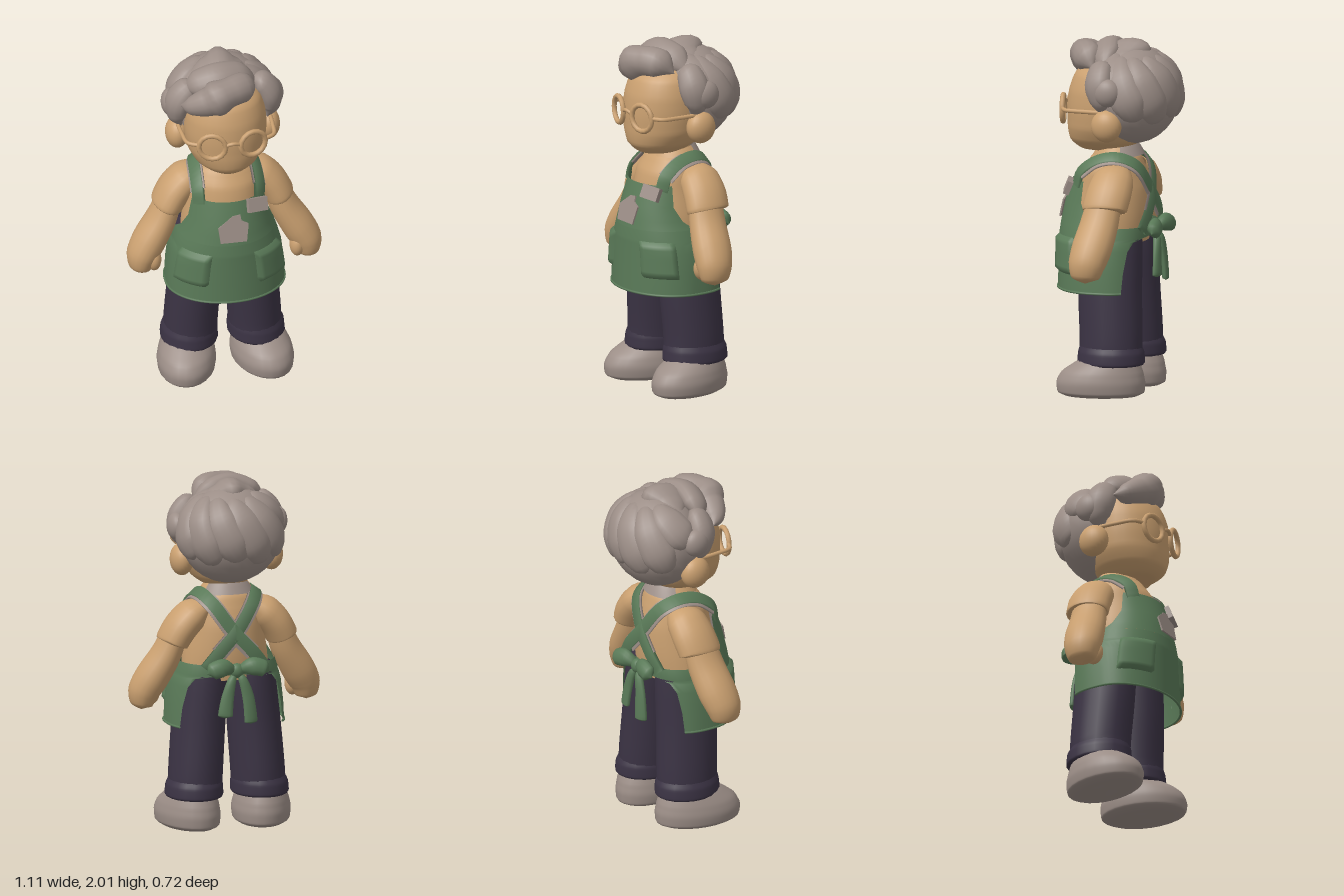
import * as THREE from 'three';

const V = (x, y, z) => new THREE.Vector3(x, y, z);
const UP = V(0, 1, 0);
const rad = Math.PI / 180;
const paint = (name, color, side = THREE.FrontSide) => {
  const m = new THREE.MeshStandardMaterial({ color, side });
  m.name = name;
  return m;
};

// Surface through rows of points
function grid(rows, closed) {
  const n = rows[0].length, pos = [], idx = [];
  rows.forEach(r => r.forEach(p => pos.push(p.x, p.y, p.z)));
  for (let i = 0; i < rows.length - 1; i++) {
    for (let j = 0; j < (closed ? n : n - 1); j++) {
      const k = (j + 1) % n;
      const a = i * n + j, b = i * n + k, c = b + n, d = a + n;
      idx.push(a, d, b, b, d, c);
    }
  }
  const g = new THREE.BufferGeometry();
  g.setAttribute('position', new THREE.Float32BufferAttribute(pos, 3));
  g.setIndex(idx);
  g.computeVertexNormals();
  return g;
}

// Rounded body along rows of [x, y, z, sideRadius, depthRadius]
function sweep(rows, { sx = 1, upright = false, center = null, steps = 5, sides = 20 } = {}) {
  const path = new THREE.CatmullRomCurve3(rows.map(r => V(r[0] * sx, r[1], r[2])));
  const size = new THREE.CatmullRomCurve3(rows.map(r => V(r[3], r[4], 0)));
  const n = (rows.length - 1) * steps, rings = [];
  for (let i = 0; i <= n; i++) {
    const p = path.getPoint(i / n), s = size.getPoint(i / n);
    const t = upright ? UP : path.getTangent(i / n);
    const ref = center ? p.clone().sub(center) : V(0, 0, 1);
    const b = t.clone().cross(ref).normalize(), c = b.clone().cross(t).normalize();
    const ring = [];
    for (let j = 0; j < sides; j++) {
      const a = j / sides * Math.PI * 2;
      ring.push(p.clone().addScaledVector(b, Math.max(s.x, 0.001) * Math.cos(a))
        .addScaledVector(c, Math.max(s.y, 0.001) * Math.sin(a)));
    }
    rings.push(ring);
  }
  return grid(rings, true);
}

// Flat band lying on the body
function band(points, width, thick) {
  const path = new THREE.CatmullRomCurve3(points), rows = [];
  for (let i = 0; i <= 28; i++) {
    const p = path.getPoint(i / 28), t = path.getTangent(i / 28);
    const b = t.clone().cross(p.clone().sub(V(0, 1.1, 0.03))).normalize();
    const n = b.clone().cross(t);
    rows.push([[1, 1], [-1, 1], [-1, -1], [1, -1]].map(([u, v]) =>
      p.clone().addScaledVector(b, u * width / 2).addScaledVector(n, v * thick / 2)));
  }
  return grid(rows, true);
}

// Apron rows: height, half width, depth, wrap angle; pointed in front, squarer behind
const APRON = [[0.58, 0.338, 0.274, 122], [0.7, 0.332, 0.272, 125], [0.82, 0.318, 0.27, 131],
  [0.87, 0.305, 0.27, 140], [0.89, 0.3, 0.27, 178], [0.95, 0.28, 0.262, 178],
  [1.0, 0.264, 0.252, 80], [1.08, 0.244, 0.235, 69], [1.2, 0.222, 0.192, 66]];
function onApron(y, ang, off = 0) {
  let i = 0;
  while (i < APRON.length - 2 && y > APRON[i + 1][0]) i++;
  const [p, q] = [APRON[i], APRON[i + 1]], f = (y - p[0]) / (q[0] - p[0]);
  const a = p[1] + (q[1] - p[1]) * f + off, d = p[2] + (q[2] - p[2]) * f + off;
  const s = Math.sin(ang), c = Math.cos(ang), e = c > 0 ? 1 : 0.7;
  return V(a * Math.sign(s) * Math.abs(s) ** e, y, 0.08 + d * Math.sign(c) * Math.abs(c) ** e);
}
const apronSheet = (rows, limit) => grid(rows.map(([y, , , w]) =>
  Array.from({ length: 49 }, (_, j) => onApron(y, Math.min(w, limit) * rad * (j / 24 - 1)))));

export function createModel() {
  const root = new THREE.Group();
  root.name = 'shopkeeper';
  const skin = paint('warm tan', 0xcaa070, THREE.DoubleSide);
  const grey = paint('soft grey', 0x9c8e87, THREE.DoubleSide);
  const green = paint('apron green', 0x5a7a58, THREE.DoubleSide);
  const navy = paint('dark plum', 0x3b3344);
  const add = (name, geo, mat) => {
    const m = new THREE.Mesh(geo, mat);
    m.name = name;
    root.add(m);
    return m;
  };
  const ball = (name, mat, p, s) => {
    const m = add(name, new THREE.SphereGeometry(1, 24, 16), mat);
    m.position.set(...p);
    m.scale.set(...s);
  };

  // Head and shirt
  add('head', sweep([[0, 1.355, 0.1, 0, 0], [0, 1.365, 0.1, 0.1, 0.13], [0, 1.42, 0.09, 0.18, 0.205],
    [0, 1.5, 0.08, 0.222, 0.227], [0, 1.6, 0.08, 0.233, 0.228], [0, 1.7, 0.08, 0.228, 0.218],
    [0, 1.8, 0.07, 0.2, 0.19], [0, 1.87, 0.05, 0.12, 0.12], [0, 1.89, 0.05, 0, 0]],
  { upright: true, sides: 32 }), skin);
  add('shirt', sweep([[0, 0.85, 0.03, 0.25, 0.18], [0, 1.0, 0.045, 0.24, 0.21], [0, 1.15, 0.04, 0.215, 0.2],
    [0, 1.25, 0.04, 0.203, 0.175], [0, 1.32, 0.03, 0.17, 0.14], [0, 1.36, 0.03, 0.12, 0.11],
    [0, 1.42, 0.03, 0.09, 0.08]], { upright: true, sides: 28 }), skin);

  // Collar: tan in front, grey lining behind
  const collar = (from, to) => grid([[1.325, 0.165, 0.15], [1.365, 0.14, 0.13], [1.385, 0.125, 0.115]].map(([y, a, d]) =>
    Array.from({ length: 17 }, (_, j) => {
      const g = (from + (to - from) * j / 16) * rad;
      return V(a * Math.sin(g), y - 0.015 * Math.cos(g), 0.02 + d * Math.cos(g));
    })));
  add('collarLeft', collar(12, 115), skin);
  add('collarRight', collar(-115, -12), skin);
  add('collarBack', collar(115, 245), grey);

  // Apron
  add('apronSkirt', apronSheet(APRON.slice(0, 6), 180), green);
  add('apronBib', apronSheet(APRON.slice(5), 92), green);
  add('apronHem', new THREE.TubeGeometry(new THREE.CatmullRomCurve3(
    Array.from({ length: 25 }, (_, j) => onApron(0.586, 122 * rad * (j / 12 - 1)))), 48, 0.007, 6), green);

  for (const sx of [1, -1]) {
    const side = sx > 0 ? 'Left' : 'Right';
    const s = { sx };

    // Inflated pocket, slightly slouched
    const pocket = [];
    for (let i = 0; i <= 10; i++) {
      pocket.push(Array.from({ length: 13 }, (_, j) => {
        const edge = i === 0 || i === 10 || j === 0 || j === 12;
        return onApron(0.68 + 0.021 * i, sx * (25 + 44 * j / 12 - 0.2 * i) * rad, edge ? -0.002 : 0.022);
      }));
    }
    add('pocket' + side, grid(pocket), green);

    // Straps cross behind, with a grey lining
    const strap = [[0.172, 1.17, 0.208], [0.176, 1.25, 0.183], [0.172, 1.32, 0.085], [0.16, 1.338, -0.03],
      [0.115, 1.29, -0.13], [0.01, 1.14, -0.178], [-0.1, 1.02, -0.188], [-0.17, 0.93, -0.172]];
    add('strap' + side, band(strap.map(p => V(p[0] * sx, p[1], p[2] + (p[2] < -0.15 ? -0.004 : 0))), 0.07, 0.022), green);
    add('strapLining' + side, band(strap.slice(1, 7).map(p => V(p[0] * sx, p[1] - 0.006, p[2])), 0.094, 0.012), grey);

    // Arms
    add('sleeve' + side, sweep([[0.14, 1.265, -0.02, 0.05, 0.08], [0.21, 1.215, -0.02, 0.092, 0.12],
      [0.275, 1.145, -0.015, 0.094, 0.13], [0.318, 1.07, -0.005, 0.09, 0.13], [0.322, 1.06, -0.005, 0.085, 0.122],
      [0.324, 1.055, -0.005, 0.06, 0.09]], { ...s, steps: 4 }), skin);
    add('arm' + side, sweep([[0.3, 1.12, 0, 0.07, 0.1], [0.35, 0.99, 0.015, 0.085, 0.11],
      [0.425, 0.86, 0.035, 0.095, 0.115], [0.47, 0.775, 0.05, 0.088, 0.105],
      [0.482, 0.7, 0.055, 0.062, 0.08], [0.484, 0.67, 0.055, 0, 0]], s), skin);
    ball('thumb' + side, skin, [sx * 0.41, 0.76, 0.09], [0.042, 0.07, 0.055]);

    // Trousers with rolled cuffs
    add('trouserLeg' + side, sweep([[0.186, 0.2, 0, 0.15, 0.18], [0.182, 0.3, 0, 0.152, 0.18],
      [0.162, 0.58, 0.013, 0.15, 0.183], [0.145, 0.78, 0.015, 0.145, 0.183], [0.138, 0.91, 0.015, 0.135, 0.175],
      [0.138, 0.93, 0.015, 0, 0]], { ...s, upright: true }), navy);
    add('cuff' + side, sweep([[0.192, 0.2, -0.003, 0, 0], [0.192, 0.168, -0.003, 0.152, 0.18], [0.192, 0.183, -0.003, 0.163, 0.194],
      [0.19, 0.235, -0.003, 0.16, 0.19], [0.187, 0.27, 0, 0.148, 0.178]],
    { ...s, upright: true }), navy);

    // Shoes turned outward
    const shoe = add('shoe' + side, sweep([[0, 0, 0, 0, 0], [0, 0, 0, 0.15, 0.237], [0, 0.012, 0, 0.162, 0.248],
      [0, 0.06, 0, 0.168, 0.252], [0, 0.12, -0.01, 0.158, 0.232], [0, 0.17, -0.035, 0.138, 0.188],
      [0, 0.21, -0.055, 0.115, 0.145], [0, 0.25, -0.06, 0.09, 0.1]], { upright: true, sides: 24 }), grey);
    shoe.position.set(sx * 0.216, 0.003, 0.05);
    shoe.rotation.y = sx * 0.2;

    // Ears and glasses
    ball('ear' + side, skin, [sx * 0.262, 1.535, 0.003], [0.066, 0.092, 0.088]);
    const ring = add('glassesRim' + side, new THREE.TorusGeometry(0.076, 0.015, 8, 16), skin);
    ring.position.set(sx * 0.117, 1.6, 0.306);
    ring.rotation.y = sx * 0.24;
    add('glassesTemple' + side, new THREE.TubeGeometry(new THREE.CatmullRomCurve3(
      [V(sx * 0.19, 1.61, 0.285), V(sx * 0.245, 1.61, 0.25), V(sx * 0.26, 1.61, 0.15), V(sx * 0.265, 1.61, 0.03)]),
    16, 0.012, 8), skin);

    // Bow loops and tails
    const c = V(0, 0.9, 0);
    add('bowLoop' + side, sweep([[0, 0.92, -0.2, 0, 0], [0.03, 0.93, -0.21, 0.028, 0.028], [0.09, 0.945, -0.235, 0.052, 0.036],
      [0.15, 0.93, -0.24, 0.048, 0.034], [0.18, 0.915, -0.24, 0, 0]], { ...s, center: c, sides: 12 }), green);
    add('bowTail' + side, sweep([[0, 0.92, -0.2, 0, 0], [0.03, 0.87, -0.22, 0.025, 0.022], [0.06, 0.77, -0.232, 0.036, 0.02],
      [0.075, 0.65 + 0.02 * sx, -0.238, 0.042, 0.02], [0.075, 0.635 + 0.02 * sx, -0.238, 0, 0]],
    { ...s, center: c, sides: 12 }), green);

    // Hair tufts above the ears
    add('sideTuft' + side, sweep([[0.15, 1.87, 0.04, 0, 0], [0.21, 1.85, 0.05, 0.07, 0.055], [0.265, 1.77, 0.05, 0.085, 0.065],
      [0.27, 1.67, 0.04, 0.065, 0.05], [0.245, 1.6, 0.05, 0, 0]], { ...s, center: V(0, 1.68, -0.08), sides: 14 }), grey);
    ball('sideCurl' + side, grey, [sx * 0.295, 1.73, -0.01], [0.055, 0.08, 0.08]);
  }
  ball('bowKnot', green, [0, 0.92, -0.21], [0.042, 0.042, 0.034]);
  add('glassesBridge', new THREE.TubeGeometry(new THREE.CatmullRomCurve3(
    [V(-0.045, 1.61, 0.322), V(0, 1.625, 0.333), V(0.045, 1.61, 0.322)]), 10, 0.011, 8), skin);

  // Chest patch and tag
  const patch = new THREE.Shape([[0, 0.08], [-0.085, 0.015], [-0.075, -0.075], [0.075, -0.075], [0.09, 0.03],
    [0.05, 0.05], [0.045, 0.085]].map(p => new THREE.Vector2(...p)));
  const badge = add('chestPatch', new THREE.ExtrudeGeometry(patch, { depth: 0.009, bevelEnabled: false }), grey);
  badge.position.set(0, 1.045, 0.316);
  badge.rotation.x = -0.26;
  const tag = add('tag', new THREE.BoxGeometry(0.12, 0.078, 0.032), grey);
  tag.position.set(0.148, 1.163, 0.264);
  tag.rotation.set(-0.4, 0.3, 0.02);

  // Hair: cap, swirling locks, swept quiff
  const mid = V(0, 1.68, -0.08);
  ball('hairCap', grey, [0, 1.68, -0.08], [0.292, 0.275, 0.25]);
  for (let k = 0; k < 11; k++) {
    const start = k / 11 * Math.PI * 2, end = start + 0.9;
    if (Math.cos(end) > 0.5) continue;
    const reach = Math.cos(end) > -0.1 ? 1.2 : 1.85 + 0.1 * (k % 2);
    const rows = [0, 0.2, 0.45, 0.7, 0.9, 1].map((t, i) => {
      const f = 0.25 + reach * t, a = start + 0.9 * t;
      return [0.27 * Math.sin(f) * Math.sin(a), 1.68 + 0.238 * Math.cos(f), -0.08 + 0.22 * Math.sin(f) * Math.cos(a),
        [0, 0.06, 0.095, 0.1, 0.07, 0][i], [0, 0.045, 0.056, 0.058, 0.045, 0][i]];
    });
    add('hairLock' + k, sweep(rows, { center: mid, sides: 14 }), grey);
  }
  const quiffs = [
    [[-0.265, 1.79, 0.13, 0, 0], [-0.21, 1.805, 0.17, 0.055, 0.06], [-0.11, 1.845, 0.205, 0.085, 0.09],
      [0.0, 1.89, 0.205, 0.085, 0.09], [0.09, 1.89, 0.165, 0.085, 0.075], [0.16, 1.84, 0.115, 0, 0]],
    [[-0.24, 1.84, 0.05, 0, 0], [-0.16, 1.89, 0.08, 0.08, 0.055], [-0.04, 1.925, 0.1, 0.095, 0.062],
      [0.08, 1.905, 0.07, 0.09, 0.06], [0.2, 1.84, 0.04, 0, 0]],
    [[-0.2, 1.87, -0.05, 0, 0], [-0.08, 1.905, -0.03, 0.1, 0.055], [0.06, 1.9, -0.02, 0.1, 0.055], [0.2, 1.85, -0.03, 0, 0]],
  ];
  quiffs.forEach((rows, i) => add('quiff' + i, sweep(rows, { center: mid, sides: 16 }), grey));

  return root;
}
